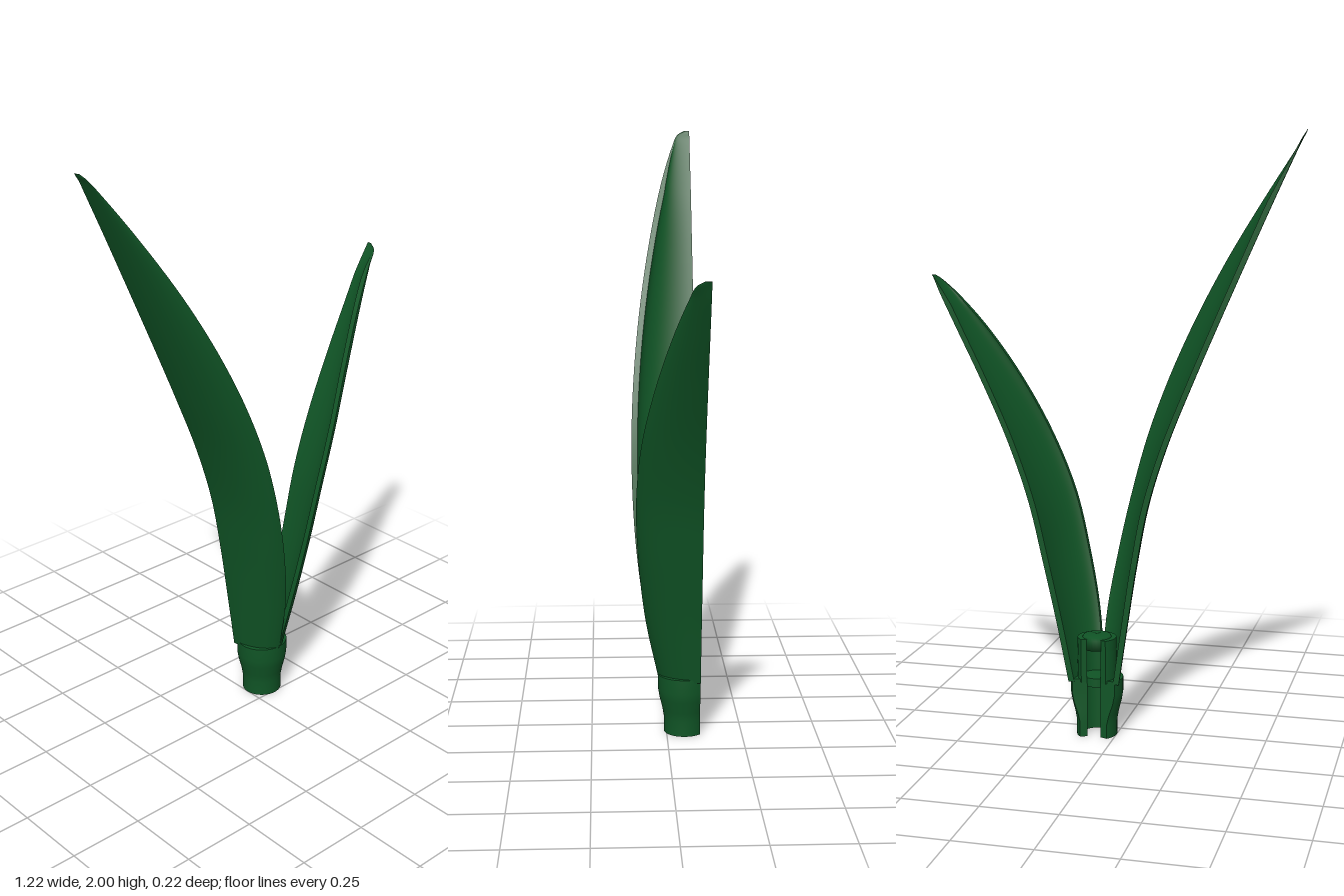
import * as THREE from 'three';
import { mergeGeometries } from 'three/addons/utils/BufferGeometryUtils.js';

const BACK = -0.11; // flat rear plane
const CX = 0.067, CZ = -0.06; // axis of the stem holder

// Smooth surface through a grid of points
function patch(rows, flip) {
  const n = rows[0].length, index = [];
  for (let i = 0; i < rows.length - 1; i++) {
    for (let j = 0; j < n - 1; j++) {
      const a = i * n + j, b = a + 1, c = b + n, d = a + n;
      if (flip) index.push(a, c, b, a, d, c);
      else index.push(a, b, c, a, c, d);
    }
  }
  const g = new THREE.BufferGeometry();
  g.setAttribute('position', new THREE.Float32BufferAttribute(rows.flat(2), 3));
  g.setIndex(index);
  g.computeVertexNormals();
  return g;
}

// Closed wall between matching outer and inner grids, with sharp rims
function shell(outer, inner, flip = false) {
  const last = outer.length - 1, end = outer[0].length - 1;
  return mergeGeometries([
    patch(outer, flip),
    patch(inner, !flip),
    patch(outer.map((r, i) => [inner[i][0], r[0]]), flip),
    patch(outer.map((r, i) => [r[end], inner[i][end]]), flip),
    patch([outer[last], inner[last]], flip),
    patch([inner[0], outer[0]], flip),
  ]);
}

// Half of a cupped leaf; stations are [y, rear edge x, front edge x, front edge z]
function leafGeometry(stations, side) {
  const rear = new THREE.CatmullRomCurve3(stations.map(s => new THREE.Vector3(s[1], s[0], BACK)));
  const front = new THREE.CatmullRomCurve3(stations.map(s => new THREE.Vector3(s[2], s[0], s[3])));
  const outer = [], inner = [], rows = 64, cols = 16, bulge = 0.8;
  for (let i = 0; i <= rows; i++) {
    const p = rear.getPoint(i / rows), q = front.getPoint(i / rows);
    const a = Math.max(Math.abs(p.x - q.x), 0.005), b = q.z - BACK;
    const t = Math.min(0.02, a * 0.4);
    const arc = inset => Array.from({ length: cols + 1 }, (_, j) => {
      const u = j / cols, w = u * Math.PI / 2;
      const c = THREE.MathUtils.lerp(1 - u, Math.cos(w), bulge);
      const s = THREE.MathUtils.lerp(u, Math.sin(w), bulge);
      return [q.x + side * (a - inset) * c, p.y + (q.y - p.y) * u, BACK + (b - inset) * s];
    });
    outer.push(arc(0));
    inner.push(arc(t));
  }
  return shell(outer, inner, side > 0);
}

// C-shaped horizontal row of the holder
function cRow(r, y, half) {
  return Array.from({ length: 41 }, (_, j) => {
    const w = half * (j / 20 - 1);
    return [CX + r * Math.sin(w), y, CZ + r * Math.cos(w)];
  });
}

// Clip sleeve from [radius, y] pairs, open along the rear
function sleeveGeometry(profile, hole) {
  return shell(
    profile.map(([r, y]) => cRow(r, y, Math.acos((BACK - CZ) / r))),
    profile.map(([, y]) => cRow(hole, y, Math.PI - 0.5)),
  );
}

export function createModel() {
  const group = new THREE.Group();
  const green = new THREE.MeshStandardMaterial({ color: 0x105526 });
  green.name = 'dark leaf green';
  const add = (name, geometry) => {
    const mesh = new THREE.Mesh(geometry, green);
    mesh.name = name;
    group.add(mesh);
    return mesh;
  };

  // Leaves
  add('tallLeaf', leafGeometry([
    [0.19, -0.02, 0.07, 0.028], [0.4, -0.05, 0.06, 0.07], [0.6, -0.08, 0.028, 0.097],
    [0.8, -0.118, -0.015, 0.11], [1.0, -0.18, -0.07, 0.111], [1.2, -0.26, -0.145, 0.1],
    [1.4, -0.345, -0.238, 0.078], [1.6, -0.432, -0.348, 0.045], [1.8, -0.52, -0.475, 0.0],
    [1.94, -0.583, -0.569, -0.045], [1.985, -0.603, -0.6, -0.066], [2.0, -0.61, -0.609, -0.09],
  ], -1));
  add('shortLeaf', leafGeometry([
    [0.19, 0.153, 0.066, 0.028], [0.39, 0.193, 0.088, 0.07], [0.6, 0.24, 0.13, 0.094],
    [0.8, 0.288, 0.18, 0.102], [1.0, 0.358, 0.257, 0.087], [1.2, 0.447, 0.355, 0.045],
    [1.37, 0.53, 0.46, -0.005], [1.48, 0.583, 0.547, -0.045], [1.525, 0.602, 0.592, -0.065],
    [1.54, 0.609, 0.605, -0.09],
  ], 1));

  // Stem holder: flared collar, inner sleeve, chamfered cap and stop
  add('collar', sleeveGeometry(
    [[0.068, 0], [0.068, 0.05], [0.073, 0.08], [0.083, 0.12], [0.088, 0.15], [0.088, 0.2]], 0.048));
  add('innerSleeve', sleeveGeometry([[0.065, 0.19], [0.065, 0.3]], 0.048));
  const cap = add('sleeveCap', new THREE.LatheGeometry(
    [[0, 0.3], [0.05, 0.3], [0.05, 0.335], [0.045, 0.345], [0, 0.345]].map(p => new THREE.Vector2(...p)), 32));
  cap.position.set(CX, 0, CZ);
  add('capRim', sleeveGeometry([[0.065, 0.3], [0.065, 0.338]], 0.048));
  const stop = add('stemStop', new THREE.CylinderGeometry(0.048, 0.048, 0.03, 32));
  stop.position.set(CX, 0.19, CZ);

  return group;
}
